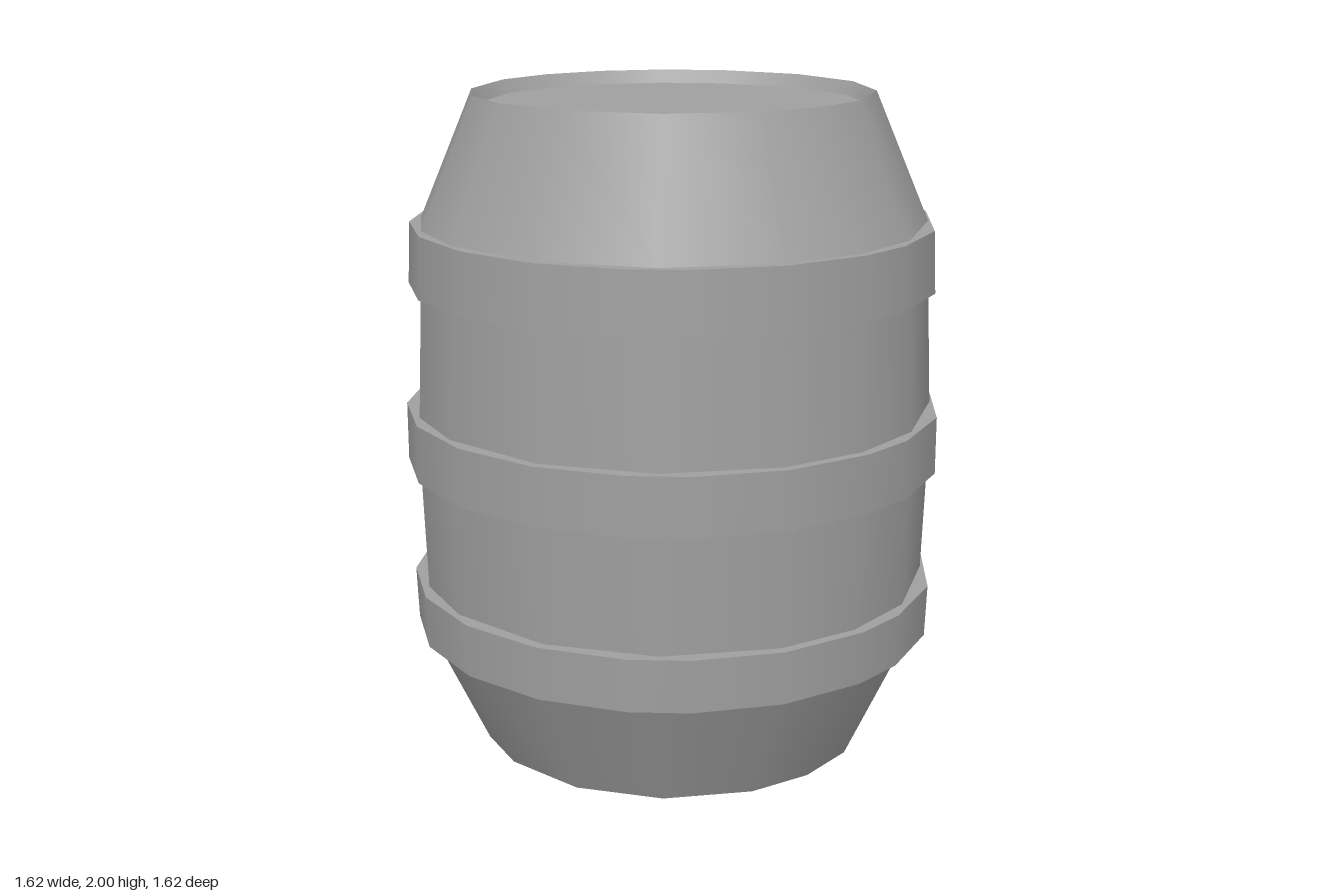
import * as THREE from 'three';

// Corner angles of the rounds, in 56ths of a turn (uneven low-poly spacing)
const BODY = [-40, -37, -33, -30, -27, -23, -19, -15, -12, -9, -5, -1, 3, 7, 10, 13];
const HOOP = [-40, -38, -35, -32, -29, -26, -23, -20, -18, -15, -12, -10, -7, -3, 0, 3, 7, 10, 13];

// Revolve a [radius, height] profile; smooth around, sharp between bands
function revolve(profile, corners) {
  const pos = [], nor = [], idx = [];
  const steps = [...corners, corners[0] + 56];
  for (let k = 0; k < profile.length - 1; k++) {
    const [r0, y0] = profile[k], [r1, y1] = profile[k + 1];
    const len = Math.hypot(r1 - r0, y1 - y0);
    const out = (y1 - y0) / len, up = (r0 - r1) / len;
    const base = pos.length / 3;
    steps.forEach((s, i) => {
      const a = (s / 56) * Math.PI * 2, c = Math.cos(a), z = -Math.sin(a);
      pos.push(r0 * c, y0, r0 * z, r1 * c, y1, r1 * z);
      nor.push(out * c, up, out * z, out * c, up, out * z);
      if (i === steps.length - 1) return;
      const b = base + i * 2;
      if (r0 > 0) idx.push(b, b + 2, b + 1);
      if (r1 > 0) idx.push(b + 2, b + 3, b + 1);
    });
  }
  const g = new THREE.BufferGeometry();
  g.setAttribute('position', new THREE.Float32BufferAttribute(pos, 3));
  g.setAttribute('normal', new THREE.Float32BufferAttribute(nor, 3));
  g.setIndex(idx);
  return g;
}

export function createModel() {
  const group = new THREE.Group();
  group.name = 'barrel';
  const grey = new THREE.MeshStandardMaterial({ color: 0xa0a0a0 });
  grey.name = 'grey';

  const add = (name, profile, corners) => {
    const mesh = new THREE.Mesh(revolve(profile, corners), grey);
    mesh.name = name;
    group.add(mesh);
  };

  // Bulging body with a flat base and a rim
  add('body', [
    [0, 0], [0.6, 0], [0.768, 0.36], [0.775, 0.52], [0.79, 0.97],
    [0.77, 1.43], [0.763, 1.615], [0.6, 2],
  ], BODY);

  // Lid sunk just below the rim
  add('lid', [[0.6, 2], [0.575, 1.96], [0, 1.96]], BODY);

  // Hoops: bottom radius and height, then top radius and height
  const hoops = [
    ['lowerHoop', 0.8, 0.36, 0.806, 0.52],
    ['middleHoop', 0.815, 0.88, 0.815, 1.055],
    ['upperHoop', 0.797, 1.43, 0.789, 1.615],
  ];
  for (const [name, r0, y0, r1, y1] of hoops) {
    add(name, [[0.7, y0], [r0, y0], [r1, y1], [0.7, y1]], HOOP);
  }
  return group;
}
